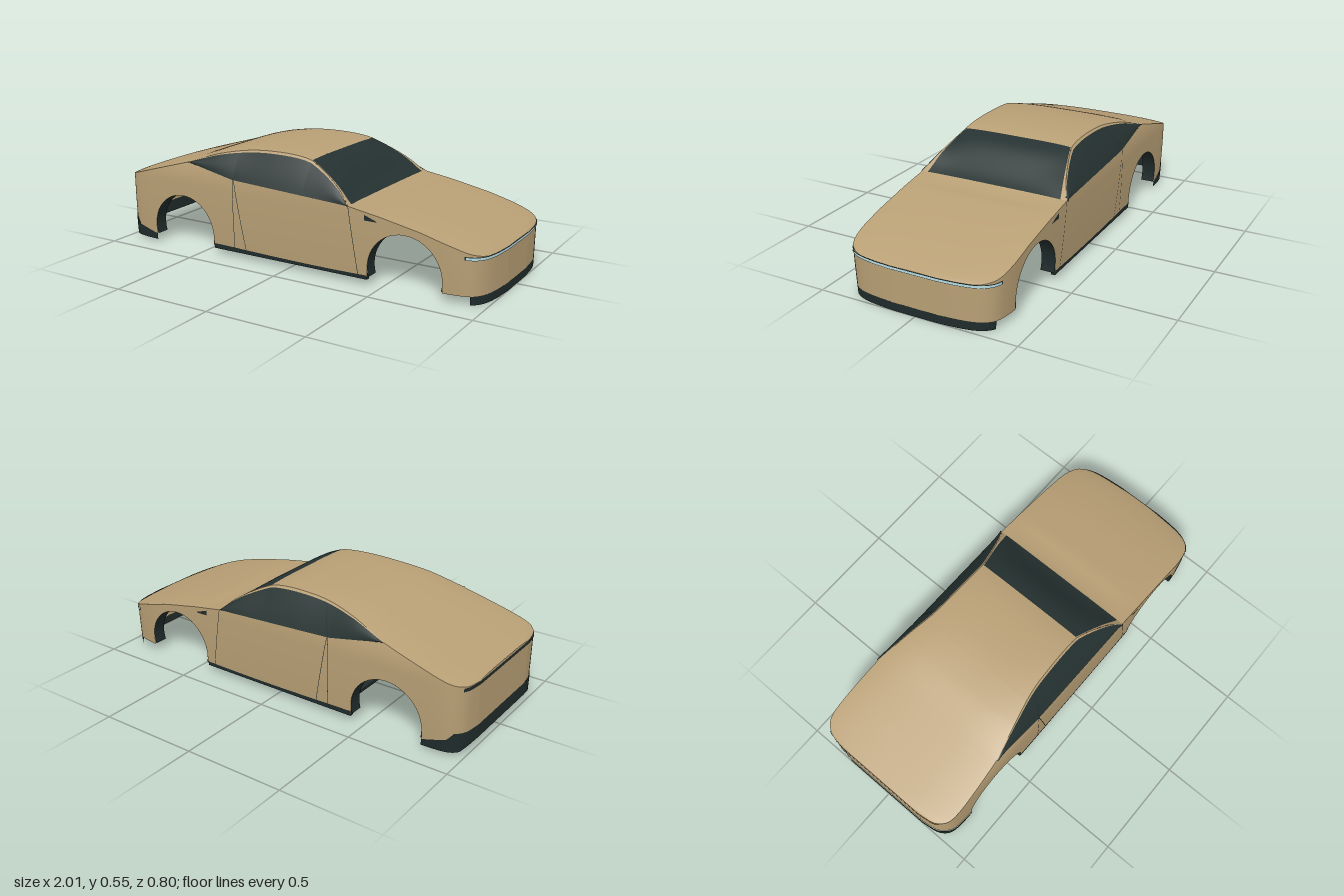
import * as THREE from 'three';

const mat = (name, color) => new THREE.MeshStandardMaterial({ name, color, side: THREE.DoubleSide });

// Smooth interpolation through a short [x, value] table
function curve(...p) {
  const slope = i => {
    const a = p[Math.max(i - 1, 0)], b = p[Math.min(i + 1, p.length - 1)];
    return (b[1] - a[1]) / (b[0] - a[0]);
  };
  return x => {
    let i = 0;
    while (i < p.length - 2 && x > p[i + 1][0]) i++;
    const [x0, y0] = p[i], [x1, y1] = p[i + 1], h = x1 - x0;
    const t = Math.min(1, Math.max(0, (x - x0) / h)), u = t * t, w = u * t;
    return y0 * (2 * w - 3 * u + 1) + y1 * (3 * u - 2 * w) + h * (slope(i) * (w - 2 * u + t) + slope(i + 1) * (w - u));
  };
}
// Straight interpolation, for lines with kinks
const line = (...p) => x => {
  let i = 0;
  while (i < p.length - 2 && x > p[i + 1][0]) i++;
  return THREE.MathUtils.mapLinear(x, p[i][0], p[i + 1][0], p[i][1], p[i + 1][1]);
};

const REAR = -0.59, SCREEN_TOP = 0.085, SCREEN_BASE = 0.335, RAIL = 0.93;
const ARCH = { x: 0.62, y: 0.088, r: 0.185 };

// Plan half width, centre profile, shoulder line and roof edge
const planWidth = curve([-1, 0.24], [-0.99, 0.31], [-0.97, 0.35], [-0.94, 0.376], [-0.89, 0.387], [-0.8, 0.39],
  [0.8, 0.39], [0.87, 0.383], [0.92, 0.369], [0.955, 0.339], [0.98, 0.285], [0.993, 0.21], [1, 0.12]);
const crown = curve([-1, 0.34], [-0.8, 0.4], [-0.6, 0.46], [-0.45, 0.51], [-0.3, 0.537], [-0.15, 0.546],
  [0, 0.542], [0.085, 0.528], [0.17, 0.493], [0.335, 0.367], [0.5, 0.344], [0.7, 0.306], [0.85, 0.268], [0.95, 0.236], [1, 0.216]);
const belt = line([-1, 0.33], [-0.8, 0.388], [REAR, 0.447], [-0.31, 0.395], [SCREEN_BASE, 0.363],
  [0.5, 0.337], [0.7, 0.298], [0.85, 0.258], [0.95, 0.226], [1, 0.208]);
const roofEdge = curve([REAR, 0.447], [-0.5, 0.478], [-0.4, 0.508], [-0.25, 0.533], [-0.1, 0.54],
  [0.03, 0.533], [0.1, 0.516], [0.25, 0.436], [SCREEN_BASE, 0.363]);
const roofEdgeZ = curve([REAR, 0.373], [-0.5, 0.353], [-0.4, 0.331], [-0.25, 0.301], [-0.1, 0.292],
  [0.03, 0.29], [0.1, 0.295], [0.25, 0.345], [SCREEN_BASE, 0.386]);
const screenZ = line([SCREEN_TOP, 0.286], [SCREEN_BASE, 0.358]);
const skirtTop = line([-1, 0.112], [-0.95, 0.112], [-0.925, 0.078], [-0.87, 0.063], [-0.8, 0.042]);

const sideZ = (x, y) => planWidth(x) - 1.5 * Math.max(0, y - 0.34) ** 2 - 0.12 * Math.max(0, 0.3 - y) ** 2;
const inCabin = x => x > REAR && x < SCREEN_BASE;
const edgeY = x => inCabin(x) ? roofEdge(x) : belt(x);
const edgeZ = x => inCabin(x) ? roofEdgeZ(x) : sideZ(x, belt(x));
const bottom = x => {
  const d = Math.abs(Math.abs(x) - ARCH.x);
  if (d <= ARCH.r) return ARCH.y + Math.sqrt(Math.max(0, ARCH.r ** 2 - d * d));
  return x < -ARCH.x ? skirtTop(x) - 0.003 : 0.04;
};

// Shared lengthwise stations, dense at the arches and rounded ends
const stations = [REAR, -0.31, SCREEN_TOP, SCREEN_BASE];
for (const s of [-1, 1]) {
  for (let i = 0; i < 12; i++) stations.push(s * 0.434 * (i + 0.5) / 12);
  for (let i = 0; i <= 24; i++) stations.push(s * (ARCH.x - ARCH.r * Math.cos(Math.PI * i / 24) * 0.99999));
  stations.push(s * 0.4349, s * 0.8051);
  for (let i = 0; i <= 14; i++) stations.push(s * (1 - 0.19 * (1 - i / 14) ** 2));
}
stations.sort((a, b) => a - b);
const between = (a, b) => stations.filter(x => x >= a && x <= b);
const steps = (n, a = 0, b = 1) => Array.from({ length: n + 1 }, (_, i) => a + (b - a) * i / n);

// Surface over two lists of parameters; flip turns the faces round
function grid(us, vs, fn, flip = false) {
  const pos = [], idx = [], n = vs.length;
  for (const u of us) for (const v of vs) pos.push(...fn(u, v));
  for (let i = 0; i < us.length - 1; i++) for (let j = 0; j < n - 1; j++) {
    const a = i * n + j, b = a + n;
    idx.push(...(flip ? [a, a + 1, b, b, a + 1, b + 1] : [a, b, a + 1, b, b + 1, a + 1]));
  }
  const g = new THREE.BufferGeometry();
  g.setAttribute('position', new THREE.Float32BufferAttribute(pos, 3));
  g.setIndex(idx);
  g.computeVertexNormals();
  return g;
}

export function createModel() {
  const car = new THREE.Group();
  car.name = 'coupeBody';
  const paint = mat('tanPaint', 0xb89f75);
  const glass = mat('darkGlass', 0x253231);
  const trim = mat('darkTrim', 0x202b2b);
  const lamp = mat('paleBlueLamp', 0xb4dbe2);
  const add = (name, geo, m) => {
    const mesh = new THREE.Mesh(geo, m);
    mesh.name = name;
    car.add(mesh);
    return mesh;
  };
  const addBox = (name, size, at) => add(name, new THREE.BoxGeometry(...size), trim).position.set(...at);

  // Upper skin: roof with tail, bonnet, windscreen and its pillars
  const top = (x, t) => [x, edgeY(x) + (crown(x) - edgeY(x)) * (1 - Math.abs(t) ** 4), t * edgeZ(x)];
  const across = steps(28, -Math.PI / 2, Math.PI / 2).map(Math.sin);
  add('roofAndTail', grid(between(-1, SCREEN_TOP), across, top, true), paint);
  add('bonnet', grid(between(SCREEN_BASE, 1), across, top, true), paint);
  const screenXs = steps(14, SCREEN_TOP, SCREEN_BASE);
  const screenT = x => Math.min(0.985, screenZ(x) / edgeZ(x));
  add('windscreen', grid(screenXs, steps(16, -1, 1), (x, t) => top(x, t * screenT(x)), true), glass);

  for (const s of [1, -1]) {
    const side = s > 0 ? 'left' : 'right', flip = s < 0;
    add(side + 'Pillar', grid(screenXs, steps(5), (x, v) => top(x, s * (screenT(x) + (1 - screenT(x)) * v)), !flip), paint);

    // Flank with wheel openings
    add(side + 'Flank', grid(stations, steps(14), (x, v) => {
      const y = bottom(x) + (belt(x) - bottom(x)) * v;
      return [x, y, s * sideZ(x, y)];
    }, flip), paint);

    // Side glass, gently bowed between shoulder and roof, with a painted rail above
    const pane = (x, v, out = 0) => [x, belt(x) + (edgeY(x) - belt(x)) * v,
      s * (sideZ(x, belt(x)) * (1 - v) + edgeZ(x) * v + 0.03 * v * (1 - v) + out)];
    const cabinXs = between(REAR, SCREEN_BASE);
    add(side + 'Window', grid(cabinXs, steps(6, 0, RAIL), (x, v) => pane(x, v), flip), glass);
    add(side + 'RoofRail', grid(cabinXs, [RAIL, 1], (x, v) => pane(x, v), flip), paint);
    add(side + 'WindowDivider', grid([0, 0.005], steps(6, 0, RAIL), (w, v) => pane(-0.31 + 0.06 * v + w, v, 0.003), flip), trim);

    // Door gaps
    const gaps = [[-0.31, -0.308, 0.393], [-0.303, -0.24, 0.391], [SCREEN_BASE, 0.385, 0.361]];
    gaps.forEach(([x0, x1, y0], i) => add(side + 'DoorGap' + (i + 1), grid([0, 0.003], steps(10), (w, v) => {
      const x = x0 + (x1 - x0) * v + w, y = y0 + (0.05 - y0) * v;
      return [x, y, s * (sideZ(x, y) + 0.0015)];
    }, !flip), trim));

    // Wing vent
    add(side + 'WingVent', grid(steps(4, 0.42, 0.485), [0, 1], (x, v) => {
      const y = 0.311 + (0.023 * (0.485 - x) / 0.065 + 0.003) * v;
      return [x, y, s * (sideZ(x, y) + 0.002)];
    }, flip), trim);

    // Wheel arch liners
    for (const e of [-1, 1]) {
      add(side + (e > 0 ? 'Front' : 'Rear') + 'ArchLiner', grid(steps(28, -0.24, Math.PI + 0.24), [0, 1], (a, v) => {
        const x = e * ARCH.x + ARCH.r * Math.cos(a), y = ARCH.y + ARCH.r * Math.sin(a);
        return [x, y, s * (sideZ(x, y) - 0.07 * v)];
      }, !flip), trim);
    }

    // Sill under the doors
    addBox(side + 'Sill', [0.865, 0.024, 0.02], [0, 0.042, s * 0.3735]);
  }

  // Flat middle of each end, between the rounded corners
  for (const e of [-1, 1]) {
    const w = planWidth(e);
    add(e > 0 ? 'frontPanel' : 'rearPanel', grid(steps(10, -1, 1), steps(8), (t, v) => {
      const y = bottom(e) + (belt(e) - bottom(e)) * v;
      return [e, y, t * sideZ(e, y)];
    }, e > 0), paint);
    // Lip closing the panel up to the crowned skin
    add(e > 0 ? 'frontLip' : 'rearLip', grid(across, [0, 1], (t, v) => {
      const p = top(e, t);
      return [e, belt(e) + (p[1] - belt(e)) * v, t * w];
    }, e > 0), paint);
  }

  // Bands that wrap round one end from flank to flank
  function endBand(name, e, xIn, low, high, out, m) {
    const path = steps(18).map(s => e * (1 - (1 - e * xIn) * (1 - s) ** 2));
    const pts = [...path.map(x => [x, 1]), ...path.reverse().map(x => [x, -1])];
    add(name, grid(pts, steps(3), ([x, s], v) => {
      const y = low(x) + (high(x) - low(x)) * v;
      return [x + e * out, y, s * (sideZ(x, y) + out)];
    }, e < 0), m);
  }
  const rising = y => x => y + 0.07 * (1 - x);
  endBand('frontLightBar', 1, 0.905, rising(0.203), rising(0.213), 0.003, lamp);
  endBand('frontLightBarFrame', 1, 0.9, rising(0.2), rising(0.216), 0.0015, trim);
  endBand('frontSkirt', 1, 0.925, () => 0, () => 0.041, 0, trim);
  endBand('tailStrip', -1, -0.975, () => 0.314, () => 0.331, 0.002, trim);
  endBand('tailStripBacking', -1, -0.975, () => 0.314, () => 0.331, -0.002, trim);
  endBand('rearSkirt', -1, -0.802, line([-1, 0.045], [-0.97, 0.016], [-0.8, 0.012]), skirtTop, 0.002, trim);

  // Raised floor pan with a firewall at its front edge
  addBox('floorPan', [0.735, 0.012, 0.755], [-0.0675, 0.122, 0]);
  addBox('firewall', [0.01, 0.235, 0.74], [0.295, 0.24, 0]);
  return car;
}
